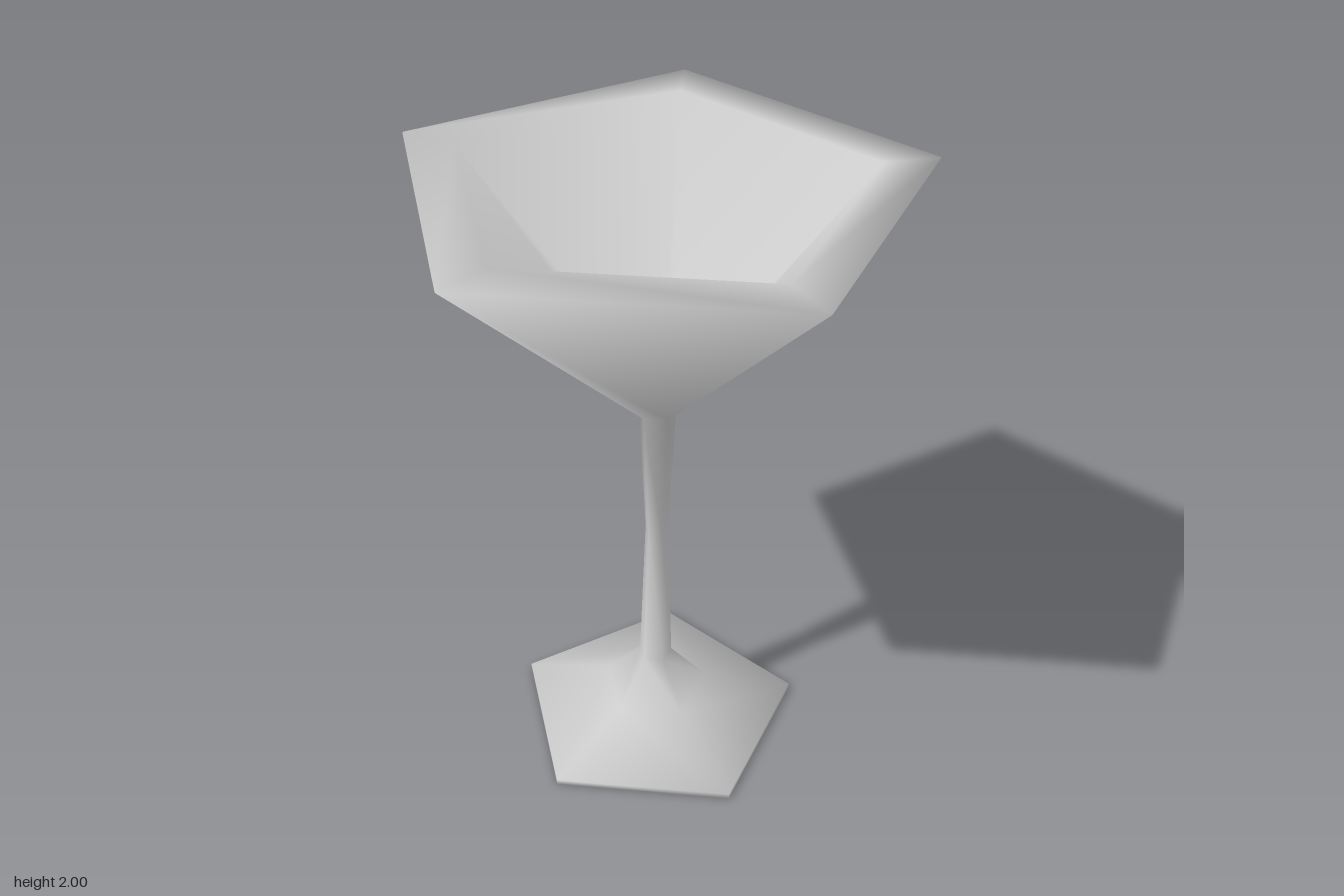
import * as THREE from 'three';

const SIDES = 5;
const AXIS_Z = -0.08; // centres the pentagon's bounds on z = 0

// Whole outline as [radius, height]: underside, foot, stem, bowl, lip, inside
const OUTLINE = [
  [0, 0], [0.485, 0], [0.485, 0.02], [0.177, 0.13], [0.056, 0.27],
  [0.037, 0.8], [0.06, 1.25],
  [0.815, 2], [0.645, 2], [0.04, 1.29], [0, 1.27],
].map(([r, y]) => new THREE.Vector2(r, y));

// Soft outline normals: the even average of the two neighbouring segments
const segmentNormal = (i) => {
  const d = OUTLINE[i + 1].clone().sub(OUTLINE[i]);
  return new THREE.Vector2(d.y, -d.x).normalize();
};
const NORMALS = OUTLINE.map((p, i) => {
  if (i === 0) return new THREE.Vector2(0, -1);
  if (i === OUTLINE.length - 1) return new THREE.Vector2(0, 1);
  return segmentNormal(i - 1).add(segmentNormal(i)).normalize();
});

export function createModel() {
  const group = new THREE.Group();
  group.name = 'goblet';
  const material = new THREE.MeshStandardMaterial({ color: 0xcccccc, side: THREE.DoubleSide });

  // Five-sided turned part from a stretch of the outline, one corner to the front
  const turn = (name, first, last) => {
    const count = last - first + 1;
    const geometry = new THREE.LatheGeometry(OUTLINE.slice(first, last + 1), SIDES);
    const normal = geometry.attributes.normal;
    for (let i = 0; i < normal.count; i++) {
      const angle = (Math.floor(i / count) / SIDES) * Math.PI * 2;
      const n = NORMALS[first + (i % count)];
      normal.setXYZ(i, n.x * Math.sin(angle), n.y, n.x * Math.cos(angle));
    }
    const mesh = new THREE.Mesh(geometry, material);
    mesh.name = name;
    mesh.position.z = AXIS_Z;
    group.add(mesh);
  };

  turn('foot', 0, 4);
  turn('stem', 4, 6);
  turn('bowl', 6, 10);

  return group;
}
